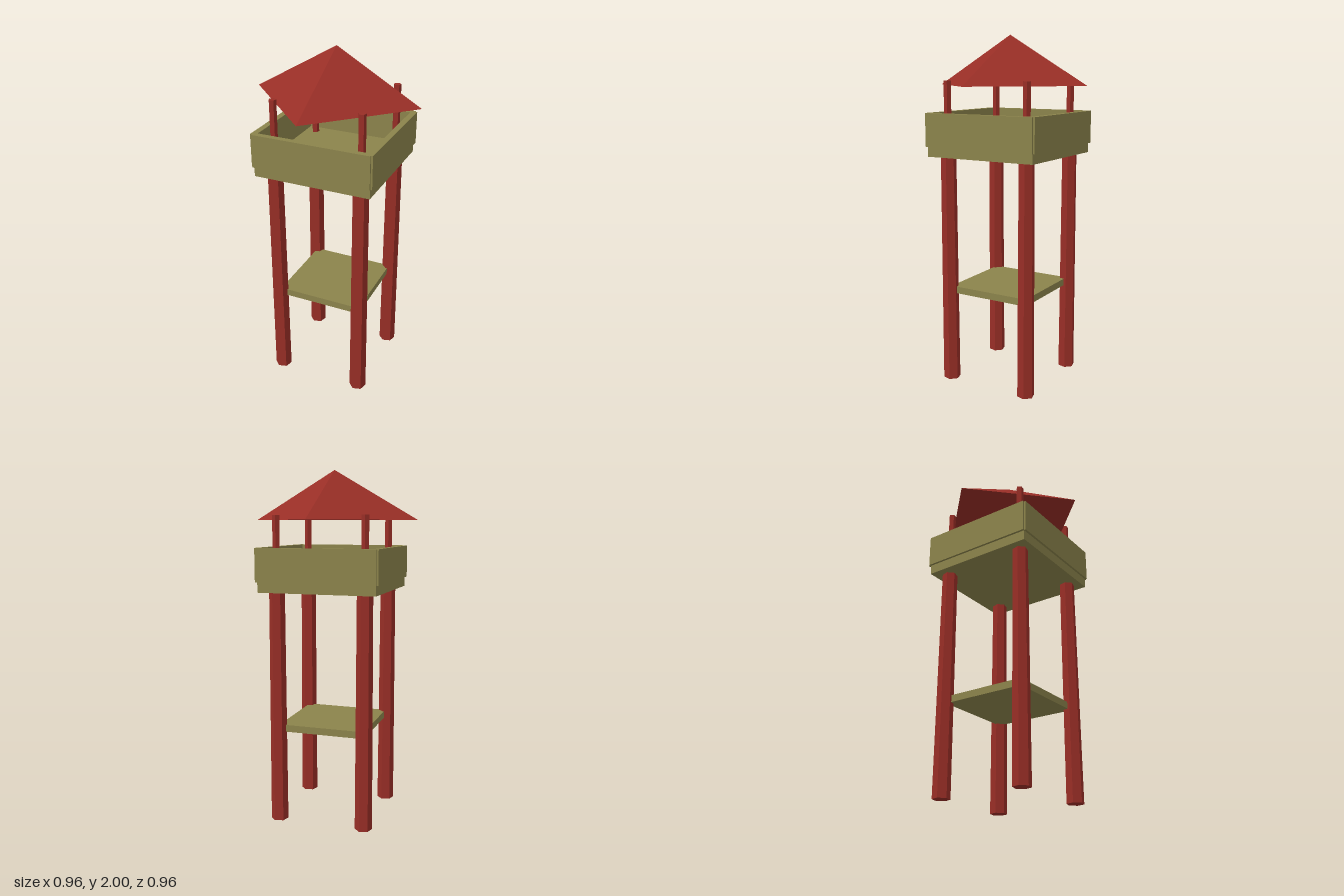
import * as THREE from 'three';

export function createModel() {
  const group = new THREE.Group();
  group.name = 'watchtower';

  const red = new THREE.MeshStandardMaterial({ color: 0x982e26 });
  red.name = 'painted red';
  const olive = new THREE.MeshStandardMaterial({ color: 0x8b834b });
  olive.name = 'olive wood';

  // Flat-faced mesh helper
  const add = (name, geometry, material, x, y, z) => {
    const flat = geometry.toNonIndexed();
    flat.computeVertexNormals();
    const mesh = new THREE.Mesh(flat, material);
    mesh.name = name;
    mesh.position.set(x, y, z);
    group.add(mesh);
    return mesh;
  };

  // Tapered six-sided legs, with thin five-sided roof posts above them
  const c = 0.254;
  for (const sx of [-1, 1]) {
    for (const sz of [-1, 1]) {
      const leg = add('leg', new THREE.CylinderGeometry(0.044, 0.049, 1.34, 6), red, c * sx, 0.67, c * sz);
      leg.rotation.y = Math.PI / 4;
      const post = add('roofPost', new THREE.CylinderGeometry(0.0215, 0.0215, 0.37, 5), red, c * sx, 1.565, c * sz);
      post.rotation.y = Math.PI / 4;
    }
  }

  // Lower shelf and lookout floor
  add('lowerPlatform', new THREE.BoxGeometry(0.5, 0.04, 0.5), olive, 0, 0.545, 0);
  add('lookoutFloor', new THREE.BoxGeometry(0.672, 0.06, 0.672), olive, 0, 1.359, 0);

  // Four parapet walls around the floor, leaving small notches at the corners
  for (let i = 0; i < 4; i++) {
    const a = (i * Math.PI) / 2;
    const d = 0.332;
    const wall = add('parapetWall', new THREE.BoxGeometry(0.678, 0.188, 0.034), olive, Math.sin(a) * d, 1.479, Math.cos(a) * d);
    wall.rotation.y = a;
  }

  // Pyramid roof, its corners pointing along the axes
  add('roof', new THREE.ConeGeometry(0.48, 0.277, 4), red, 0, 1.8615, 0);

  return group;
}
